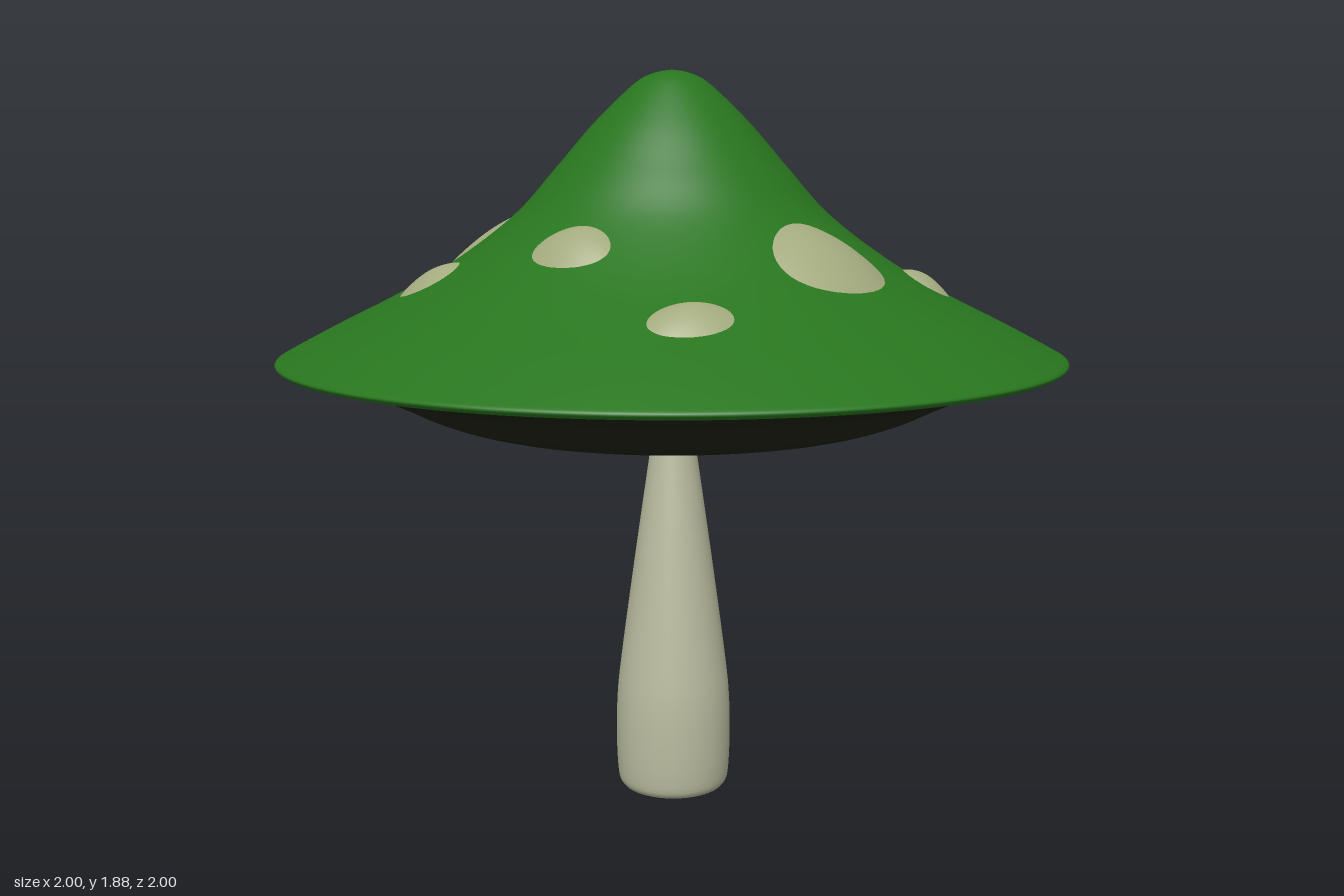
import * as THREE from 'three';

const mat = (color) => new THREE.MeshStandardMaterial({ color, roughness: 0.8, side: THREE.DoubleSide });
const smooth = (pts, n) =>
  new THREE.SplineCurve(pts.map(([r, y]) => new THREE.Vector2(r, y))).getPoints(n)
    .map((p) => new THREE.Vector2(Math.max(p.x, 0), p.y));

// Bell-shaped top of the cap, from rim to peak
const capProfile = smooth([
  [0.99, 1.155], [1, 1.168], [0.97, 1.187], [0.85, 1.25], [0.7, 1.325], [0.55, 1.412],
  [0.4, 1.525], [0.3, 1.635], [0.2, 1.75], [0.1, 1.846], [0.05, 1.875], [0, 1.885],
], 72);

// Underside, from the centre out to the rim
const underProfile = smooth([
  [0, 0.966], [0.3, 0.972], [0.5, 0.992], [0.62, 1.025], [0.72, 1.072],
  [0.82, 1.115], [0.92, 1.14], [0.99, 1.155],
], 40);

const stemProfile = smooth([
  [0.135, 0.005], [0.147, 0.03], [0.152, 0.12], [0.15, 0.24], [0.138, 0.36],
  [0.1, 0.64], [0.054, 0.96], [0.05, 1.0],
], 40);

// Height of the cap surface at a distance from the axis
function capHeight(r) {
  for (let i = capProfile.length - 1; i > 0; i--) {
    const a = capProfile[i], b = capProfile[i - 1];
    if (r >= a.x && r <= b.x) return a.y + (b.y - a.y) * (r - a.x) / (b.x - a.x || 1);
  }
  return capProfile[0].y;
}

// Oval spot draped over the cap with a gentle bulge: centre, half sizes, turn in plan
function spotGeometry([cx, cz, a, b, turn]) {
  const rings = 10, sides = 40;
  const geo = new THREE.PlaneGeometry(1, 1, sides, rings);
  const pos = geo.attributes.position;
  const bulge = 0.012 + 0.18 * Math.min(a, b);
  for (let j = 0; j <= rings; j++) {
    for (let i = 0; i <= sides; i++) {
      const rho = j / rings, t = -(i / sides) * Math.PI * 2;
      const u = a * rho * Math.cos(t), v = b * rho * Math.sin(t);
      const x = cx + u * Math.cos(turn) - v * Math.sin(turn);
      const z = cz + u * Math.sin(turn) + v * Math.cos(turn);
      const y = capHeight(Math.hypot(x, z)) + bulge * (1 - rho * rho) - 0.002 * rho;
      pos.setXYZ(j * (sides + 1) + i, x, y, z);
    }
  }
  // Wind the faces so they look outwards from the cap
  const index = geo.index.array;
  for (let k = 0; k < index.length; k += 3) [index[k + 1], index[k + 2]] = [index[k + 2], index[k + 1]];
  const p = [0, 1, 2].map((k) => new THREE.Vector3().fromBufferAttribute(pos, index[index.length - 3 + k]));
  const up = p[1].clone().sub(p[0]).cross(p[2].clone().sub(p[0])).y;
  if (up < 0) for (let k = 0; k < index.length; k += 3) [index[k + 1], index[k + 2]] = [index[k + 2], index[k + 1]];
  geo.computeVertexNormals();
  return geo;
}

export function createModel() {
  const model = new THREE.Group();
  model.name = 'mushroom';
  const add = (name, geometry, material, parent = model) => {
    const mesh = new THREE.Mesh(geometry, material);
    mesh.name = name;
    parent.add(mesh);
    return mesh;
  };

  add('capTop', new THREE.LatheGeometry(capProfile, 96), mat(0x28751e));
  add('capUnderside', new THREE.LatheGeometry(underProfile, 96), mat(0x1e2313));

  const stemMat = mat(0xb9bc9f);
  add('stem', new THREE.LatheGeometry(stemProfile, 48), stemMat).position.x = 0.004;
  const base = add('stemBase', new THREE.CircleGeometry(0.135, 48), stemMat);
  base.rotation.x = Math.PI / 2;
  base.position.set(0.004, 0.005, 0);

  // Spots scattered round the cap
  const spots = new THREE.Group();
  spots.name = 'spots';
  model.add(spots);
  const spotMat = mat(0xa3aa7e);
  [
    [0.035, -0.685, 0.16, 0.13, 0.1],
    [-0.35, -0.46, 0.122, 0.095, -0.8],
    [0.29, -0.405, 0.11, 0.068, 0.65],
    [-0.69, -0.34, 0.09, 0.062, -0.6],
    [0.625, -0.16, 0.08, 0.061, 1.3],
    [-0.51, 0.005, 0.17, 0.125, 1.55],
    [0.48, 0.207, 0.165, 0.113, 1.95],
    [-0.49, 0.38, 0.086, 0.068, 0.3],
    [-0.06, 0.473, 0.106, 0.063, 0.15],
    [0.298, 0.633, 0.1, 0.062, -0.6],
  ].forEach((s, i) => add(`spot${i + 1}`, spotGeometry(s), spotMat, spots));

  return model;
}
